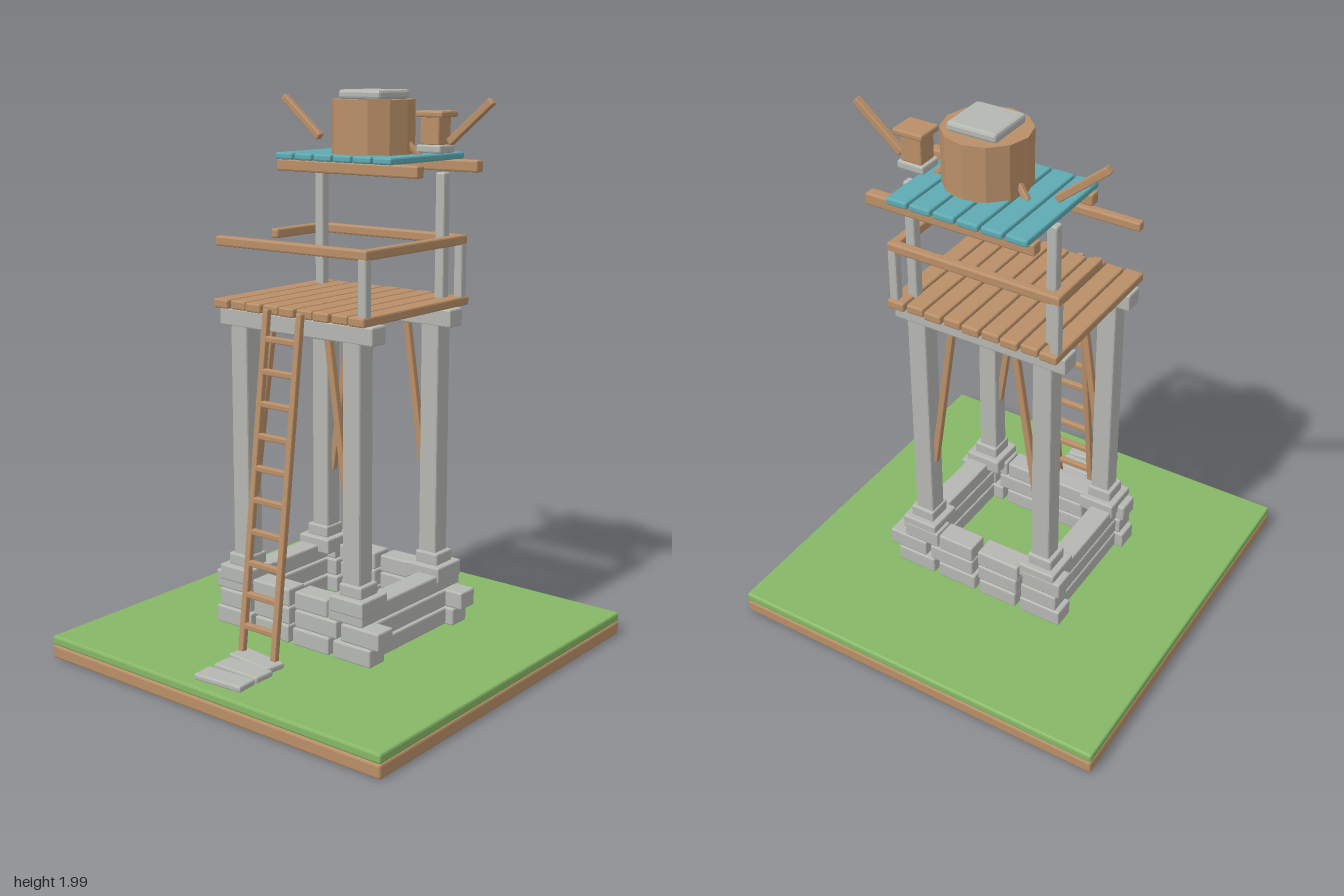
import * as THREE from 'three';
import { RoundedBoxGeometry } from 'three/addons/geometries/RoundedBoxGeometry.js';

function material(name, color) {
  const m = new THREE.MeshStandardMaterial({ color });
  m.name = name;
  return m;
}

export function createModel() {
  const model = new THREE.Group();
  model.name = 'watchtower';
  const wood = material('wood', 0xb98f68);
  const stone = material('stone', 0xb5b7b1);
  const grass = material('grass', 0x86b766);
  const teal = material('teal roof', 0x5eaab2);

  function group(name) {
    const g = new THREE.Group();
    g.name = name;
    model.add(g);
    return g;
  }

  // Chamfered box given by its size and centre
  function block(parent, name, mat, size, centre, bevel = 0.006) {
    const geo = new RoundedBoxGeometry(...size, 1, bevel);
    geo.computeVertexNormals();
    const mesh = new THREE.Mesh(geo, mat);
    mesh.name = name;
    mesh.position.set(...centre);
    parent.add(mesh);
    return mesh;
  }

  // Square bar running between two points
  function bar(parent, name, mat, a, b, thick) {
    const p = new THREE.Vector3(...a), q = new THREE.Vector3(...b);
    const dir = q.clone().sub(p);
    const mesh = block(parent, name, mat, [thick, dir.length(), thick],
      p.clone().add(q).multiplyScalar(0.5).toArray(), 0.004);
    mesh.quaternion.setFromUnitVectors(new THREE.Vector3(0, 1, 0), dir.normalize());
    return mesh;
  }

  // Ground slab
  const ground = group('ground');
  block(ground, 'soil', wood, [1.47, 0.05, 1.47], [0, 0.03, 0], 0.008);
  block(ground, 'turf', grass, [1.47, 0.035, 1.47], [0, 0.072, 0], 0.008);

  // Stepping stones
  const path = group('steppingStones');
  for (const [x, z, turn] of [[0, 0.465, -0.12], [0.017, 0.55, 0], [0.02, 0.645, 0.08]]) {
    block(path, 'steppingStone', stone, [0.195, 0.022, 0.082], [x, 0.1, z]).rotation.y = turn;
  }

  // Stone footing: coursed blocks at front and back, long blocks at the sides
  const footing = group('footing');
  const courses = [
    [0.135, [[-0.35, -0.185], [-0.165, -0.01], [0.01, 0.17], [0.19, 0.35]]],
    [0.203, [[-0.335, -0.19], [-0.17, -0.005], [0.02, 0.205], [0.225, 0.385]]],
    [0.27, [[-0.35, -0.195], [-0.175, -0.005], [0.02, 0.165], [0.17, 0.315]]],
  ];
  for (const [y, spans] of courses) {
    for (const z of [0.245, -0.245]) {
      for (const [a, b] of spans) {
        block(footing, 'footingBlock', stone, [b - a, 0.064, 0.085], [(a + b) / 2, y, z]);
      }
    }
    for (const x of [-0.275, 0.275]) {
      block(footing, 'sideBlock', stone, [0.085, 0.062, 0.575], [x, y, 0]);
    }
  }

  // Four posts on stepped bases, with cross beams and leaning braces
  const frame = group('frame');
  for (const z of [0.225, -0.215]) {
    for (const s of [-1, 1]) {
      block(frame, 'post', stone, [0.073, 0.9, 0.073], [s * 0.248, 0.8, z]);
      block(frame, 'postBaseLower', stone, [0.142, 0.058, 0.142], [s * 0.253, 0.302, z]);
      block(frame, 'postBaseUpper', stone, [0.095, 0.045, 0.095], [s * 0.253, 0.35, z]);
      bar(frame, 'brace', wood, [s * 0.12, 1.23, z], [s * 0.215, 0.59, z], 0.024);
    }
    block(frame, 'crossBeam', stone, [0.67, 0.064, 0.075], [0, 1.228, z]);
  }

  // Deck planks
  const deck = group('deck');
  for (let i = 0; i < 9; i++) {
    block(deck, 'deckPlank', wood, [0.066, 0.032, 0.6 - (i % 2) * 0.012], [(i - 4) * 0.074, 1.279, 0]);
  }

  // Railing, open at the front left corner
  const railing = group('railing');
  for (const [x, z] of [[0.31, 0.27], [0.31, -0.27], [-0.31, -0.27]]) {
    block(railing, 'railPost', stone, [0.033, 0.2, 0.033], [x, 1.385, z]);
  }
  for (const z of [0.27, -0.27]) {
    block(railing, 'railAcross', wood, [0.655, 0.034, 0.033], [0, 1.493, z]);
  }
  block(railing, 'railRight', wood, [0.033, 0.034, 0.57], [0.31, 1.493, 0]);
  block(railing, 'railLeft', wood, [0.033, 0.034, 0.285], [-0.31, 1.493, -0.143]);

  // Ladder
  const ladder = group('ladder');
  for (const x of [-0.073, 0.073]) {
    bar(ladder, 'ladderRail', wood, [x, 0.115, 0.455], [x, 1.285, 0.308], 0.023);
  }
  for (let i = 0; i < 10; i++) {
    const y = 0.205 + i * 0.109;
    block(ladder, 'rung', wood, [0.165, 0.021, 0.021], [0, y, 0.455 - (y - 0.115) * 0.1256], 0.004);
  }

  // Roof posts, beams and planks
  const roof = group('roof');
  for (const x of [-0.268, 0.268]) {
    block(roof, 'roofPost', stone, [0.037, 0.44, 0.037], [x, 1.505, -0.218]);
  }
  for (const z of [-0.033, -0.387]) {
    block(roof, 'roofBeam', wood, [0.615, 0.042, 0.042], [0, 1.737, z]);
  }
  for (let i = 0; i < 6; i++) {
    block(roof, 'roofPlank', teal, [0.077, 0.024, 0.437], [-0.26 + i * 0.0862, 1.769, -0.215]);
  }

  // Water barrel with its lid and small struts
  const tank = group('waterBarrel');
  const barrelGeo = new THREE.CylinderGeometry(0.147, 0.147, 0.19, 12).toNonIndexed();
  barrelGeo.computeVertexNormals();
  const barrel = new THREE.Mesh(barrelGeo, wood);
  barrel.name = 'barrel';
  barrel.position.set(0, 1.872, -0.175);
  tank.add(barrel);
  block(tank, 'lid', stone, [0.18, 0.033, 0.18], [0, 1.983, -0.18], 0.01);
  for (const s of [-1, 1]) {
    bar(tank, 'barrelStrut', wood, [s * 0.17, 1.775, -0.215], [s * 0.12, 1.83, -0.2], 0.02);
  }

  // Lantern
  const lantern = group('lantern');
  block(lantern, 'lanternBase', stone, [0.1, 0.028, 0.09], [0.23, 1.803, -0.225]);
  block(lantern, 'lanternBody', wood, [0.078, 0.1, 0.075], [0.23, 1.864, -0.225]);
  block(lantern, 'lanternCap', wood, [0.112, 0.022, 0.1], [0.23, 1.92, -0.23]);

  // Slanted arms
  const arms = group('arms');
  for (const s of [-1, 1]) {
    bar(arms, 'arm', wood, [s * 0.285, 1.825, -0.23], [s * 0.456, 1.968, -0.23], 0.026);
  }

  return model;
}
